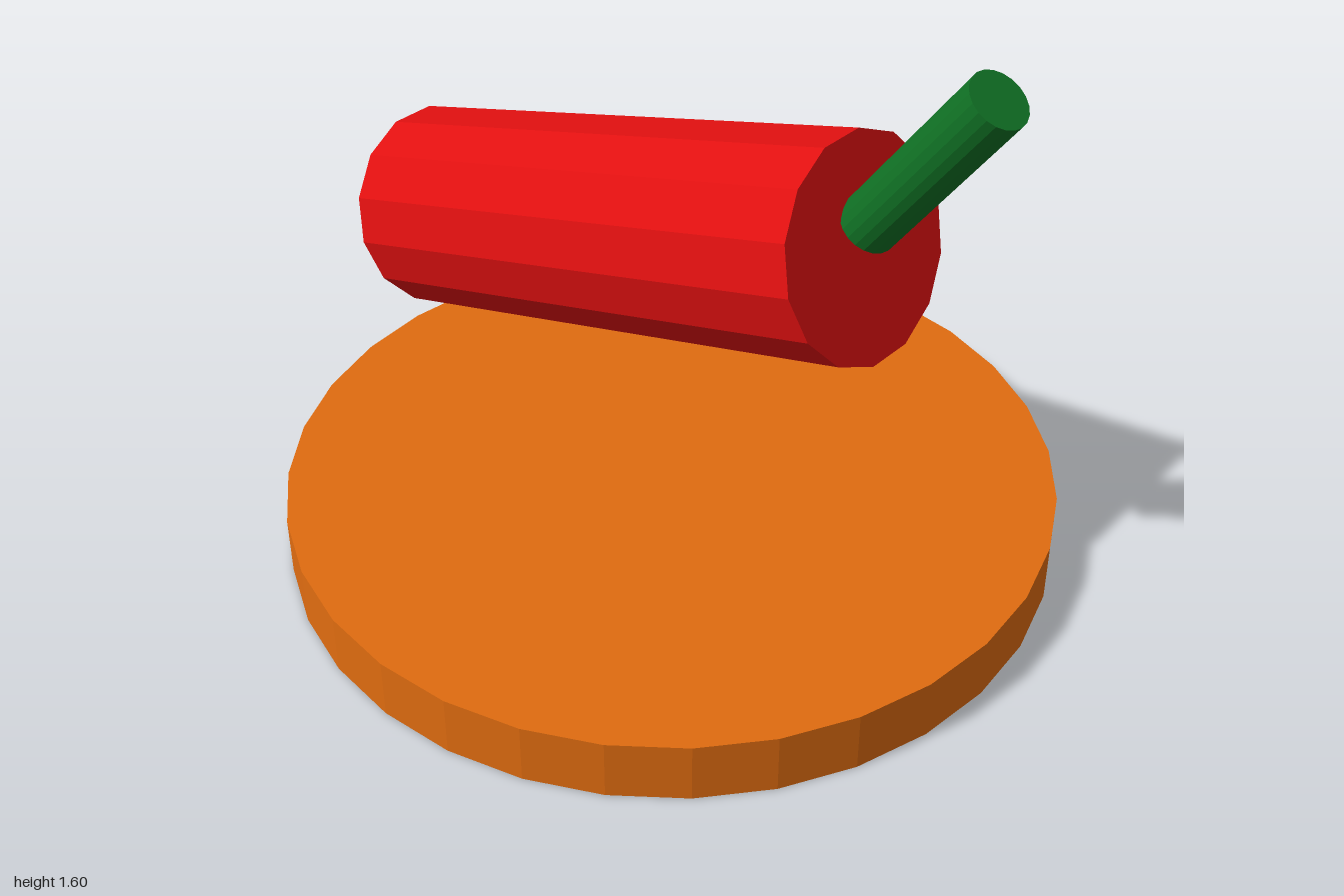
import * as THREE from 'three';

const material = (name, color) => {
  const m = new THREE.MeshStandardMaterial({ color });
  m.name = name;
  return m;
};

// Faceted cylinder running between two points in the x-y plane
function rod(name, from, to, radius, sides, mat) {
  const a = new THREE.Vector2(...from);
  const b = new THREE.Vector2(...to);
  const geometry = new THREE.CylinderGeometry(radius, radius, a.distanceTo(b), sides).toNonIndexed();
  geometry.computeVertexNormals(); // flat facets
  const mesh = new THREE.Mesh(geometry, mat);
  mesh.name = name;
  mesh.position.set((a.x + b.x) / 2, (a.y + b.y) / 2, 0);
  mesh.rotation.z = b.clone().sub(a).angle() - Math.PI / 2;
  return mesh;
}

export function createModel() {
  const orange = material('orange', 0xe06c10);
  const red = material('red', 0xe01010);
  const green = material('green', 0x107024);

  const group = new THREE.Group();
  group.name = 'pepperOnDisc';
  group.add(
    // Round base disc
    rod('base', [0, 0], [0, 0.16], 1, 32, orange),
    // Tilted body floating above the base
    rod('body', [-0.865, 0.6], [0.582, 1.08], 0.27, 14, red),
    // Stem rising from the upper end of the body
    rod('stem', [0.583, 1.143], [0.883, 1.563], 0.072, 20, green),
  );
  return group;
}
